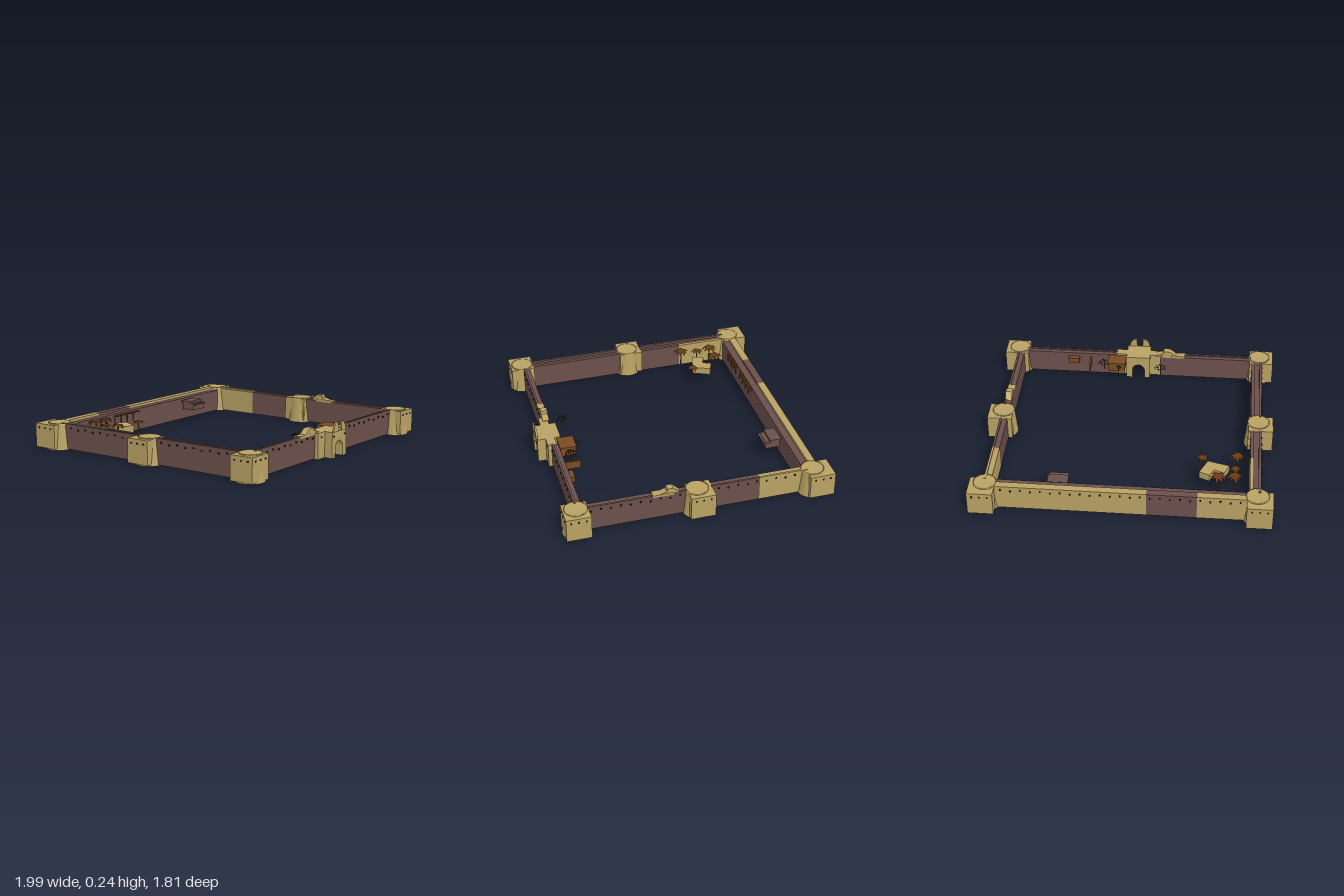
import * as THREE from 'three';

const mat = (name, color) => {
  const m = new THREE.MeshStandardMaterial({ color, side: THREE.DoubleSide });
  m.name = name;
  return m;
};

export function createModel() {
  const root = new THREE.Group();
  root.name = 'desertFort';
  const sand = mat('sandstone', 0xb9a264);
  const brown = mat('brownMud', 0x6c504c);
  const wood = mat('wood', 0x7a4c22);
  const leaf = mat('dryFrond', 0x6a3a14);
  const dark = mat('darkBeam', 0x33281f);

  const add = (name, geo, material, parent = root) => {
    const m = new THREE.Mesh(geo, material);
    m.name = name;
    parent.add(m);
    return m;
  };
  // Box from its lower and upper limits
  const box = (name, material, x0, x1, y0, y1, z0, z1, parent = root) => {
    const m = add(name, new THREE.BoxGeometry(x1 - x0, y1 - y0, z1 - z0), material, parent);
    m.position.set((x0 + x1) / 2, (y0 + y1) / 2, (z0 + z1) / 2);
    return m;
  };
  const beam = (x, y, z) => box('beamEnd', dark, x - 0.005, x + 0.005, y - 0.005, y + 0.005, z - 0.005, z + 0.005);

  // Towers: square shell open below, with a flared round turret inside the wall
  const tower = (sx, z0, z1, cz) => {
    const g = new THREE.Group();
    g.name = 'tower';
    root.add(g);
    const shell = box('towerShell', sand, sx * 0.905 - 0.085, sx * 0.905 + 0.085, 0.015, 0.178, z0, z1, g);
    const idx = Array.from(shell.geometry.index.array);
    idx.splice(18, 6);
    shell.geometry.clearGroups();
    shell.geometry.setIndex(idx);
    const profile = [[0.094, 0.005], [0.09, 0.03], [0.076, 0.17], [0.076, 0.184], [0.068, 0.184], [0.068, 0.18], [0, 0.18]];
    const turret = add('roundTurret', new THREE.LatheGeometry(profile.map(p => new THREE.Vector2(...p)), 28), sand, g);
    turret.position.set(sx * 0.888, 0, cz);
    for (const t of [0.2, 0.5, 0.8]) {
      beam(sx * 0.99, 0.15, z0 + t * (z1 - z0));
      if (Math.abs(cz) > 0.5) beam(sx * 0.905 - 0.085 + t * 0.17, 0.15, cz < 0 ? z0 : z1);
    }
  };
  for (const s of [-1, 1]) {
    tower(s, -0.9, -0.73, -0.775);
    tower(s, -0.085, 0.08, 0.015);
    tower(s, 0.73, 0.895, 0.81);
  }

  // Back wall: outer parapet in four sections, lower walkway inside
  [[-0.82, -0.5, sand], [-0.5, -0.17, brown], [-0.17, 0.16, sand], [0.16, 0.49, sand], [0.49, 0.82, sand]]
    .forEach(([a, b, m]) => {
      box('backParapet', m, a, b, 0.01, 0.183, -0.82, -0.77);
      box('backWalkway', brown, a, b, 0.01, 0.165, -0.77, -0.722);
    });

  // Front wall
  [[-0.83, -0.49], [-0.49, -0.16], [0.16, 0.49], [0.49, 0.83]].forEach(([a, b]) => {
    box('frontWall', brown, a, b, 0.01, 0.176, 0.765, 0.81);
    box('frontParapet', brown, a, b, 0.176, 0.184, 0.795, 0.81);
  });

  // Right hand wall at +x, with a sandstone section at the back
  [[-0.74, -0.41, sand], [-0.41, -0.08, brown], [0.08, 0.41, brown], [0.41, 0.74, brown]].forEach(([a, b, m]) => {
    box('sideWall', m, 0.85, 0.9, 0.01, 0.176, a, b);
    box('sideParapet', m, 0.886, 0.9, 0.176, 0.184, a, b);
  });

  // Wall at -x: raised edges on both sides of a walkway
  [[-0.74, -0.38, sand], [-0.38, -0.08, brown], [0.08, 0.41, brown], [0.41, 0.74, brown]].forEach(([a, b, m]) => {
    box('sideWallOuter', brown, -0.91, -0.892, 0.01, 0.184, a, b);
    box('sideWalkway', brown, -0.892, -0.86, 0.01, 0.168, a, b);
    box('sideWallInner', m, -0.86, -0.836, 0.01, 0.178, a, b);
  });

  // Rows of projecting beam ends
  for (let i = 0; i < 25; i++) {
    const t = -0.78 + i * 0.065;
    const y = i % 2 ? 0.15 : 0.158;
    beam(t, y, -0.822);
    if (Math.abs(t) > 0.17) beam(t, y, 0.812);
    if (Math.abs(t) > 0.1 && Math.abs(t) < 0.73) {
      beam(0.902, y, t);
      beam(-0.912, y, t);
    }
  }

  const extrude = (pts, depth) => new THREE.ExtrudeGeometry(
    new THREE.Shape(pts.map(p => new THREE.Vector2(...p))), { depth, bevelEnabled: false });

  // Stepped sandstone mounds on the walls
  const mound = [[-0.09, 0.178], [-0.05, 0.21], [-0.035, 0.22], [0.01, 0.22], [0.015, 0.2], [0.075, 0.184], [0.075, 0.178]];
  const m1 = add('wallStair', extrude(mound.map(([x, y]) => [x, y]), 0.046), sand);
  m1.position.set(-0.195, 0, 0.765);
  box('wallStairLanding', sand, -0.34, -0.17, 0.17, 0.186, 0.764, 0.812);
  const m2 = add('wallStair', extrude(mound, 0.046), sand);
  m2.rotation.y = Math.PI / 2;
  m2.position.set(0.853, 0, 0.19);
  m2.scale.x = -1;
  m2.position.z = 0.205;
  m2.scale.x = -0.85;
  box('wallStairLanding', sand, 0.849, 0.902, 0.17, 0.186, 0.17, 0.31);

  // Gatehouse with an arched passage, side wings and two curved horns
  const gate = new THREE.Shape();
  gate.moveTo(-0.085, 0.005);
  gate.lineTo(-0.045, 0.005);
  gate.lineTo(-0.045, 0.075);
  gate.absarc(0, 0.07, 0.045, Math.PI, 0, true);
  gate.lineTo(0.045, 0.005);
  gate.lineTo(0.088, 0.005);
  gate.lineTo(0.088, 0.18);
  gate.lineTo(-0.085, 0.18);
  const gateGeo = new THREE.ExtrudeGeometry(gate, { depth: 0.16, bevelEnabled: false, curveSegments: 12 });
  add('gatehouse', gateGeo, sand).position.z = 0.732;
  box('gateWing', sand, -0.167, -0.08, 0.005, 0.18, 0.775, 0.835);
  box('gateWing', sand, 0.08, 0.167, 0.005, 0.18, 0.775, 0.835);
  for (const s of [-1, 1]) {
    const horn = new THREE.Shape();
    horn.moveTo(s * 0.02, 0.178);
    horn.lineTo(s * 0.022, 0.242);
    horn.quadraticCurveTo(s * 0.07, 0.24, s * 0.075, 0.178);
    add('gateHorn', new THREE.ExtrudeGeometry(horn, { depth: 0.012, bevelEnabled: false }), sand).position.z = 0.885;
    beam(s * 0.065, 0.15, 0.892);
    beam(s * 0.13, 0.15, 0.837);
  }

  // Palms: slim trunk and a crown of drooping tapered fronds
  const frond = new THREE.BufferGeometry();
  frond.setAttribute('position', new THREE.Float32BufferAttribute(
    [0, 0, 0, 0.03, 0.012, 0.012, 0.03, 0.012, -0.012, 0.058, -0.008, 0], 3));
  frond.setIndex([0, 1, 2, 1, 3, 2]);
  frond.computeVertexNormals();
  const palm = (x, z, size, top) => {
    const g = new THREE.Group();
    g.name = 'palm';
    root.add(g);
    g.position.set(x, 0, z);
    const trunk = add('palmTrunk', new THREE.CylinderGeometry(0.004, 0.006, top - 0.07, 6), wood, g);
    trunk.position.y = (top + 0.07) / 2;
    for (let i = 0; i < 9; i++) {
      const f = add('palmFrond', frond, leaf, g);
      f.position.y = top;
      f.rotation.y = i * Math.PI * 2 / 9 + x * 9;
      f.scale.setScalar(size * (i % 2 ? 1 : 0.85));
    }
  };
  [[-0.735, -0.585, 1.1, 0.177], [-0.63, -0.59, 1.1, 0.172], [-0.74, -0.49, 0.85, 0.165],
    [-0.75, -0.37, 1.05, 0.175], [-0.52, -0.39, 0.85, 0.165]].forEach(p => palm(...p));

  // Small angled house among the palms
  const plan = [[-0.70, 0.44], [-0.555, 0.40], [-0.50, 0.52], [-0.57, 0.55], [-0.60, 0.49], [-0.665, 0.52]];
  const house = add('angledHouse', extrude(plan, 0.05), sand);
  house.rotation.x = -Math.PI / 2;
  house.position.y = 0.1;

  // Flat roofed hut near the back wall
  box('hutBody', brown, 0.36, 0.485, 0.09, 0.14, -0.7, -0.6);
  box('hutRoof', brown, 0.352, 0.49, 0.14, 0.155, -0.708, -0.63);
  box('hutPorch', brown, 0.357, 0.487, 0.128, 0.136, -0.63, -0.585);

  // Leaf shelters along the back wall
  [[-0.66, -0.575], [-0.55, -0.465], [-0.4, -0.155]].forEach(([a, b]) => {
    for (let x = a, i = 0; x < b; x += 0.022, i++) {
      const s = box('shelterRoof', leaf, x, x + 0.018, 0.148, 0.154, -0.745, -0.708 + (i % 2) * 0.008);
      s.rotation.x = 0.15;
      if (i % 3 === 0) box('shelterPost', wood, x, x + 0.006, 0.09, 0.15, -0.715, -0.709);
    }
  });

  // Stall, table and fence behind the front wall
  box('stall', wood, 0.095, 0.215, 0.105, 0.168, 0.655, 0.758);
  box('stallRoof', wood, 0.09, 0.22, 0.168, 0.174, 0.65, 0.762);
  box('fence', wood, 0.348, 0.36, 0.1, 0.155, 0.655, 0.76);
  box('table', wood, 0.44, 0.52, 0.11, 0.15, 0.73, 0.764);

  // Twiggy bushes by the gate
  [[-0.17, 0.67], [0.25, 0.7], [0.14, 0.63]].forEach(([cx, cz], k) => {
    for (let i = 0; i < (k === 2 ? 5 : 14); i++) {
      const a = i * 2.4, r = (k === 2 ? 0.008 : 0.011) * Math.sqrt(i);
      const t = box('bushTwig', i % 3 ? dark : leaf, -0.007, 0.007, 0, 0.006, -0.004, 0.004);
      t.position.set(cx + r * Math.cos(a), 0.165 - r * 0.5, cz + r * Math.sin(a));
      t.rotation.set(0.4, a, 0.3);
    }
    box('bushStem', wood, cx - 0.003, cx + 0.003, 0.09, 0.165, cz - 0.003, cz + 0.003);
  });

  return root;
}
